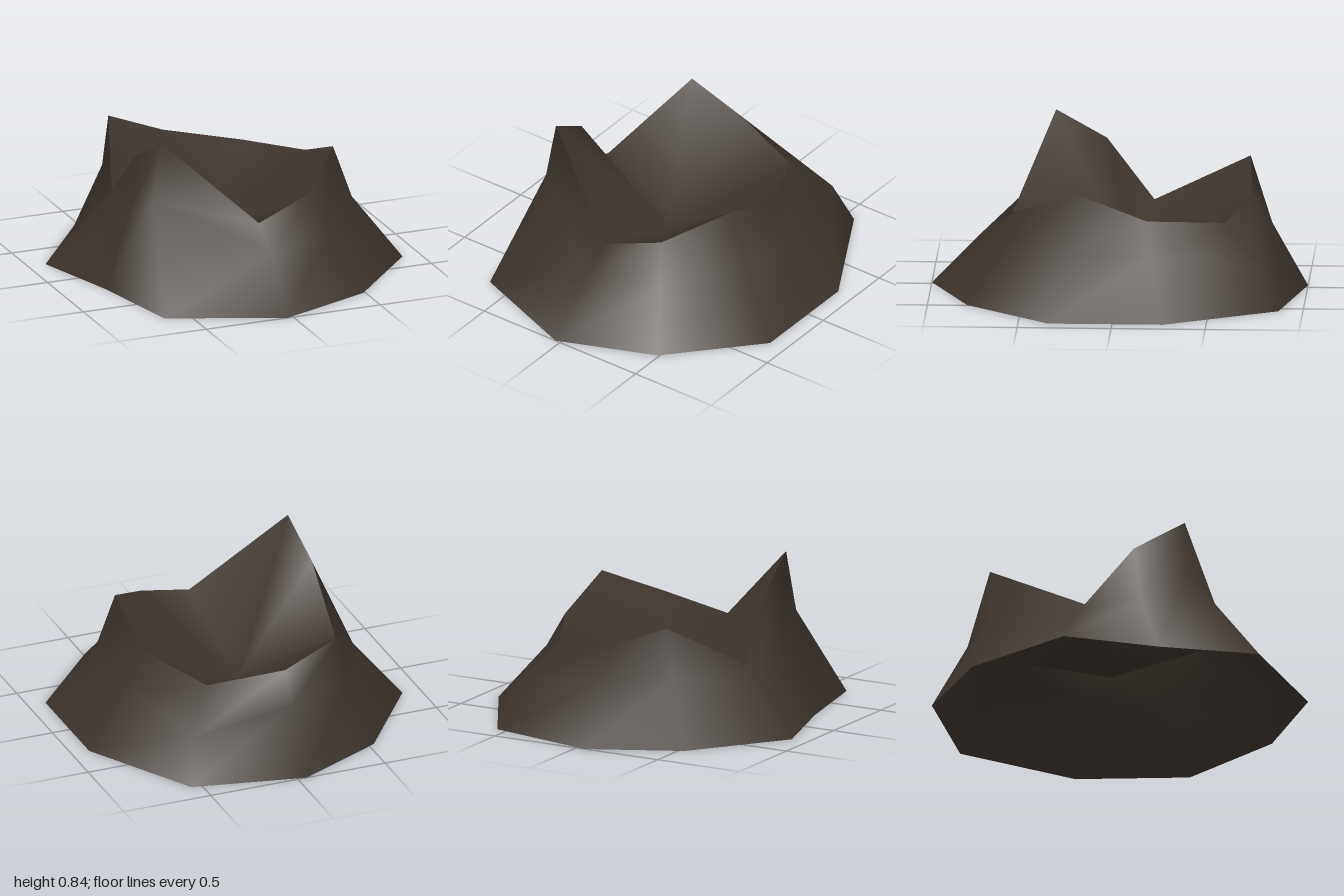
import * as THREE from 'three';

// Matching rings of ten points [x, y, z], counter-clockwise from the front
const rim = [
  [-0.02, 0.39, 0.57], [0.29, 0.48, 0.49], [0.55, 0.63, 0.22], [0.55, 0.48, -0.17], [0.35, 0.43, -0.58],
  [-0.05, 0.5, -0.7], [-0.37, 0.63, -0.68], [-0.56, 0.34, -0.16], [-0.53, 0.68, 0.09], [-0.5, 0.84, 0.36],
];
const middle = [
  [-0.02, 0.28, 0.73], [0.36, 0.28, 0.59], [0.65, 0.34, 0.24], [0.65, 0.3, -0.19], [0.49, 0.24, -0.77],
  [-0.05, 0.34, -0.81], [-0.41, 0.36, -0.67], [-0.67, 0.25, -0.2], [-0.6, 0.35, 0.13], [-0.55, 0.52, 0.38],
];
const foot = [
  [-0.03, 0, 1], [0.49, 0, 0.79], [0.9, 0, 0.34], [0.9, 0, -0.27], [0.56, 0, -0.87],
  [-0.05, 0, -1], [-0.53, 0, -0.77], [-0.9, 0, -0.27], [-0.75, 0, 0.23], [-0.64, 0, 0.76],
];
const pit = [-0.05, 0.15, -0.04];

function surface(name, points, faces, material) {
  const geometry = new THREE.BufferGeometry();
  geometry.setAttribute('position', new THREE.Float32BufferAttribute(points.flat(), 3));
  geometry.setIndex(faces.flat());
  geometry.computeVertexNormals();
  const mesh = new THREE.Mesh(geometry, material);
  mesh.name = name;
  return mesh;
}

export function createModel() {
  const group = new THREE.Group();
  group.name = 'brokenStump';
  const bark = new THREE.MeshStandardMaterial({ color: 0x3d342c, side: THREE.DoubleSide });
  bark.name = 'dark bark';

  const n = rim.length;
  const wall = [];
  const hollow = [];
  for (let i = 0; i < n; i++) {
    const next = (i + 1) % n;
    // Flared outer wall, open at the foot
    for (const ring of [0, n]) {
      const a = ring + i;
      const b = ring + next;
      wall.push([a, b, b + n], [a, b + n, a + n]);
    }
    // Hollow falling from the jagged rim to a central pit
    hollow.push([i, next, n]);
  }
  group.add(surface('outerWall', [...foot, ...middle, ...rim], wall, bark));
  group.add(surface('hollow', [...rim, pit], hollow, bark));

  return group;
}
